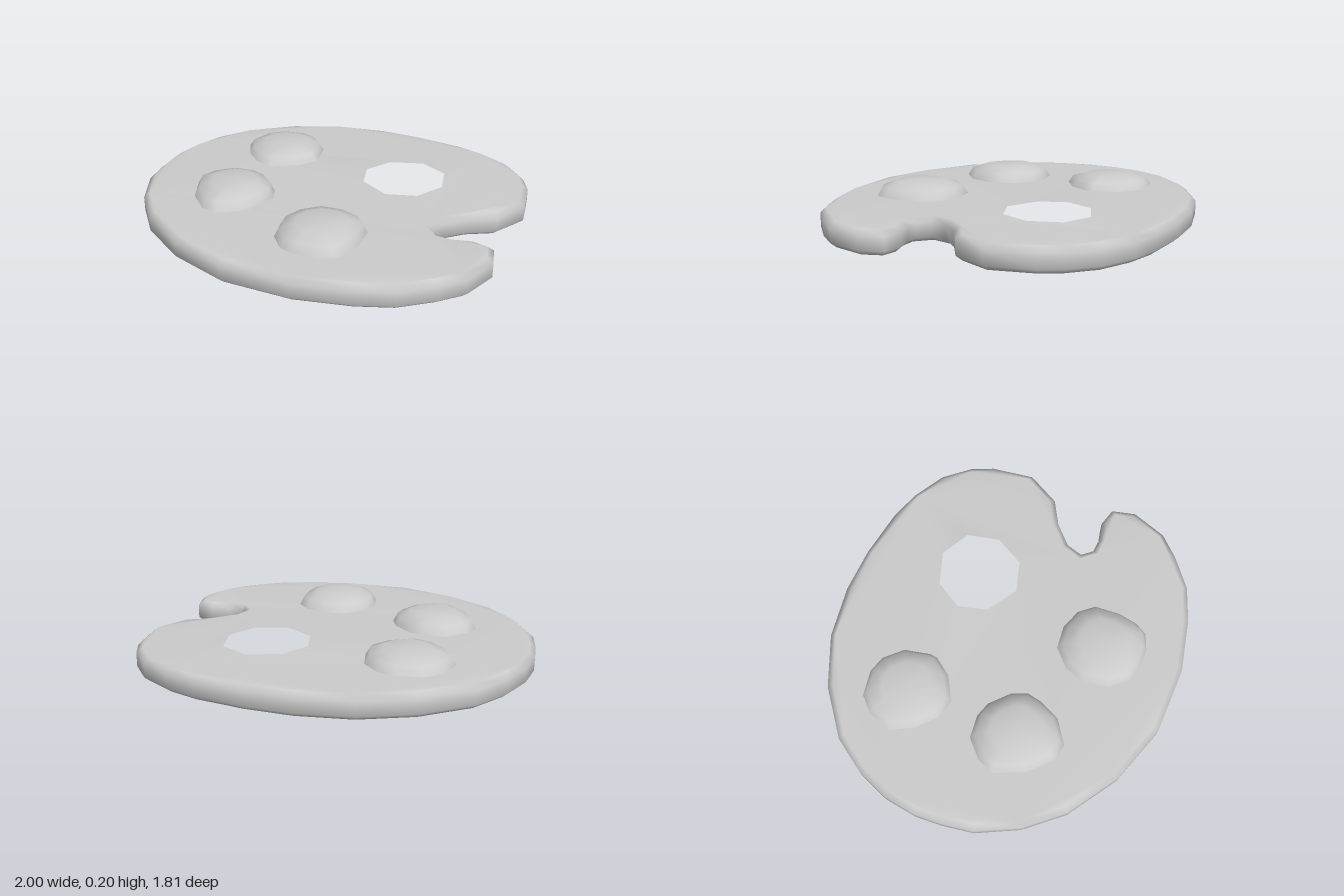
import * as THREE from 'three';
import { mergeVertices } from 'three/addons/utils/BufferGeometryUtils.js';

const material = new THREE.MeshStandardMaterial({ color: 0xcccccc });

// Outlines as [x, z], clockwise seen from above
const boardOutline = [
  [-1, 0], [-0.99, -0.17], [-0.94, -0.34], [-0.84, -0.52], [-0.63, -0.71], [-0.38, -0.84],
  [-0.11, -0.9], [0.13, -0.91], [0.39, -0.89], [0.55, -0.85], [0.72, -0.77], [0.84, -0.65],
  [0.9, -0.54], [0.95, -0.32], [0.87, -0.14], [0.75, -0.06], [0.66, 0.04], [0.64, 0.13],
  [0.69, 0.18], [0.76, 0.18], [0.86, 0.15], [0.96, 0.17], [1, 0.29], [0.95, 0.48],
  [0.86, 0.59], [0.72, 0.72], [0.55, 0.8], [0.28, 0.88], [-0.07, 0.9], [-0.38, 0.82],
  [-0.65, 0.67], [-0.82, 0.5], [-0.94, 0.3], [-0.98, 0.14],
];
const holeOutline = [
  [0.3, -0.57], [0.48, -0.49], [0.54, -0.3], [0.46, -0.12],
  [0.28, -0.05], [0.09, -0.15], [0.03, -0.32], [0.11, -0.49],
];
const blobs = [
  { name: 'paintBlobBack', top: 0.19, outline: [
    [-0.69, -0.31], [-0.66, -0.44], [-0.59, -0.52], [-0.46, -0.55], [-0.37, -0.53], [-0.28, -0.45],
    [-0.24, -0.32], [-0.24, -0.28], [-0.3, -0.18], [-0.42, -0.1], [-0.52, -0.12], [-0.62, -0.2]] },
  { name: 'paintBlobMiddle', top: 0.2, outline: [
    [-0.65, 0.25], [-0.62, 0.16], [-0.54, 0.07], [-0.42, 0.05], [-0.34, 0.07], [-0.24, 0.15],
    [-0.2, 0.23], [-0.21, 0.31], [-0.25, 0.42], [-0.36, 0.51], [-0.45, 0.5], [-0.57, 0.4]] },
  { name: 'paintBlobFront', top: 0.2, outline: [
    [-0.02, 0.45], [0.01, 0.34], [0.09, 0.25], [0.21, 0.23], [0.32, 0.26], [0.39, 0.33], [0.41, 0.46],
    [0.4, 0.56], [0.37, 0.63], [0.29, 0.67], [0.18, 0.68], [0.1, 0.66], [0.02, 0.58]] },
];

const toVectors = (points) => points.map(([x, z]) => new THREE.Vector2(x, -z));

// Bevelled slab with a thumb hole, shaded smoothly around its rim
function boardGeometry(thickness, bevel) {
  const shape = new THREE.Shape(toVectors(boardOutline));
  shape.holes.push(new THREE.Path(toVectors(holeOutline)));
  let geometry = new THREE.ExtrudeGeometry(shape, {
    depth: thickness - 2 * bevel, bevelEnabled: true, bevelThickness: bevel,
    bevelSize: 0.03, bevelOffset: -0.03, bevelSegments: 1,
  });
  geometry.translate(0, 0, bevel);
  geometry.rotateX(-Math.PI / 2);
  geometry.deleteAttribute('normal');
  geometry.deleteAttribute('uv');
  geometry = mergeVertices(geometry);
  geometry.computeVertexNormals();
  return geometry;
}

// Low dome: the outline shrinks ring by ring towards a centre point
function blobGeometry(outline, base, top) {
  const n = outline.length;
  const cx = outline.reduce((sum, p) => sum + p[0], 0) / n;
  const cz = outline.reduce((sum, p) => sum + p[1], 0) / n;
  const rings = [[1, 0], [0.88, 0.58], [0.57, 0.9]]; // [scale, height fraction]
  const positions = [];
  const index = [];
  for (const [scale, rise] of rings) {
    for (const [x, z] of outline) {
      positions.push(cx + (x - cx) * scale, base + (top - base) * rise, cz + (z - cz) * scale);
    }
  }
  positions.push(cx, top, cz);
  const apex = rings.length * n;
  for (let r = 0; r < rings.length; r++) {
    for (let i = 0; i < n; i++) {
      const a = r * n + i;
      const b = r * n + (i + 1) % n;
      if (r === rings.length - 1) index.push(b, a, apex);
      else index.push(b, a, a + n, b, a + n, b + n);
    }
  }
  const geometry = new THREE.BufferGeometry();
  geometry.setAttribute('position', new THREE.Float32BufferAttribute(positions, 3));
  geometry.setIndex(index);
  geometry.computeVertexNormals();
  return geometry;
}

export function createModel() {
  const group = new THREE.Group();
  group.name = 'paintPalette';
  const add = (name, geometry) => {
    const mesh = new THREE.Mesh(geometry, material);
    mesh.name = name;
    group.add(mesh);
  };

  add('board', boardGeometry(0.12, 0.025));
  for (const { name, top, outline } of blobs) add(name, blobGeometry(outline, 0.119, top));
  return group;
}
